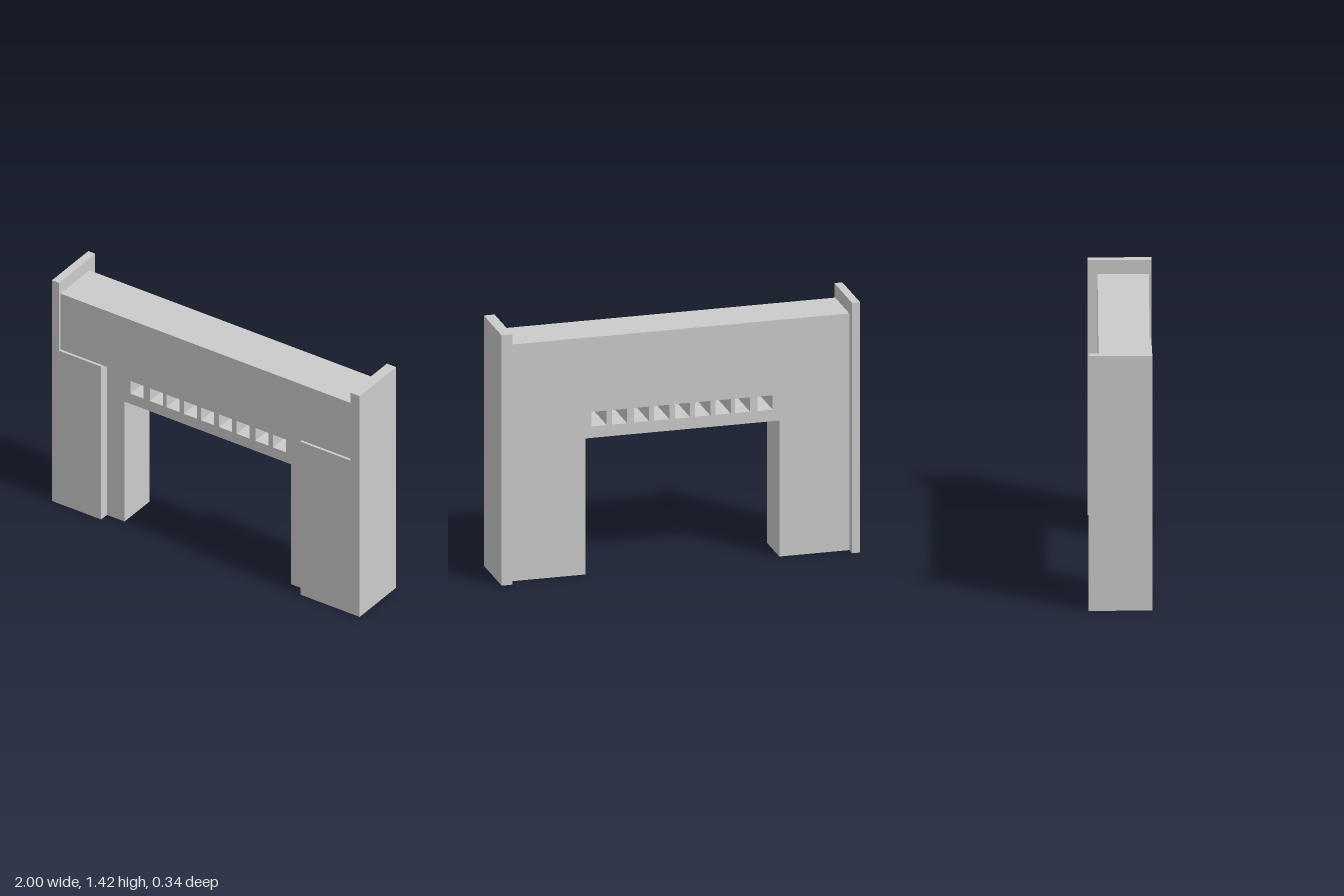
import * as THREE from 'three';

const material = new THREE.MeshStandardMaterial({ color: 0xcccccc, flatShading: true });

// Box given by its limits on each axis
function block(name, [x0, x1], [y0, y1], [z0, z1]) {
  const mesh = new THREE.Mesh(new THREE.BoxGeometry(x1 - x0, y1 - y0, z1 - z0), material);
  mesh.position.set((x0 + x1) / 2, (y0 + y1) / 2, (z0 + z1) / 2);
  mesh.name = name;
  return mesh;
}

export function createModel() {
  const group = new THREE.Group();
  group.name = 'gateway';

  const left = 0.94, right = -0.955;   // inner faces of the end walls
  const beamBottom = 0.982, beamTop = 1.34;
  const back = -0.12, wallFront = 0.115, beamFront = 0.155, pierFront = 0.17;

  // Portal wall: two legs and a lintel pierced by a row of square windows
  const outline = new THREE.Shape([
    [right, 0], [-0.565, 0], [-0.565, 0.77], [0.515, 0.77],
    [0.515, 0], [left, 0], [left, beamBottom], [right, beamBottom],
  ].map(([x, y]) => new THREE.Vector2(x, y)));
  const windowStarts = [-0.528, -0.402, -0.294, -0.18, -0.068, 0.048, 0.162, 0.284, 0.398];
  const w = 0.085, y0 = 0.835, y1 = 0.917;
  for (const x of windowStarts) {
    outline.holes.push(new THREE.Path([
      new THREE.Vector2(x, y0), new THREE.Vector2(x, y1),
      new THREE.Vector2(x + w, y1), new THREE.Vector2(x + w, y0),
    ]));
  }
  const wallGeometry = new THREE.ExtrudeGeometry(outline, { depth: wallFront - back, bevelEnabled: false });
  const wall = new THREE.Mesh(wallGeometry, material);
  wall.position.z = back;
  wall.name = 'portalWall';
  group.add(wall);

  // Deep beam across the top
  group.add(block('topBeam', [right, left], [beamBottom, beamTop], [back, beamFront]));

  // Shallow piers on the front of the legs
  group.add(block('rightPier', [right, -0.68], [0, beamBottom], [wallFront, pierFront]));
  group.add(block('leftPier', [0.615, left], [0, beamBottom], [wallFront, pierFront]));

  // Tall end walls
  group.add(block('rightEndWall', [-1, right], [0, 1.417], [-0.175, pierFront]));
  group.add(block('leftEndWall', [left, 1], [0, 1.417], [-0.175, pierFront]));

  return group;
}
